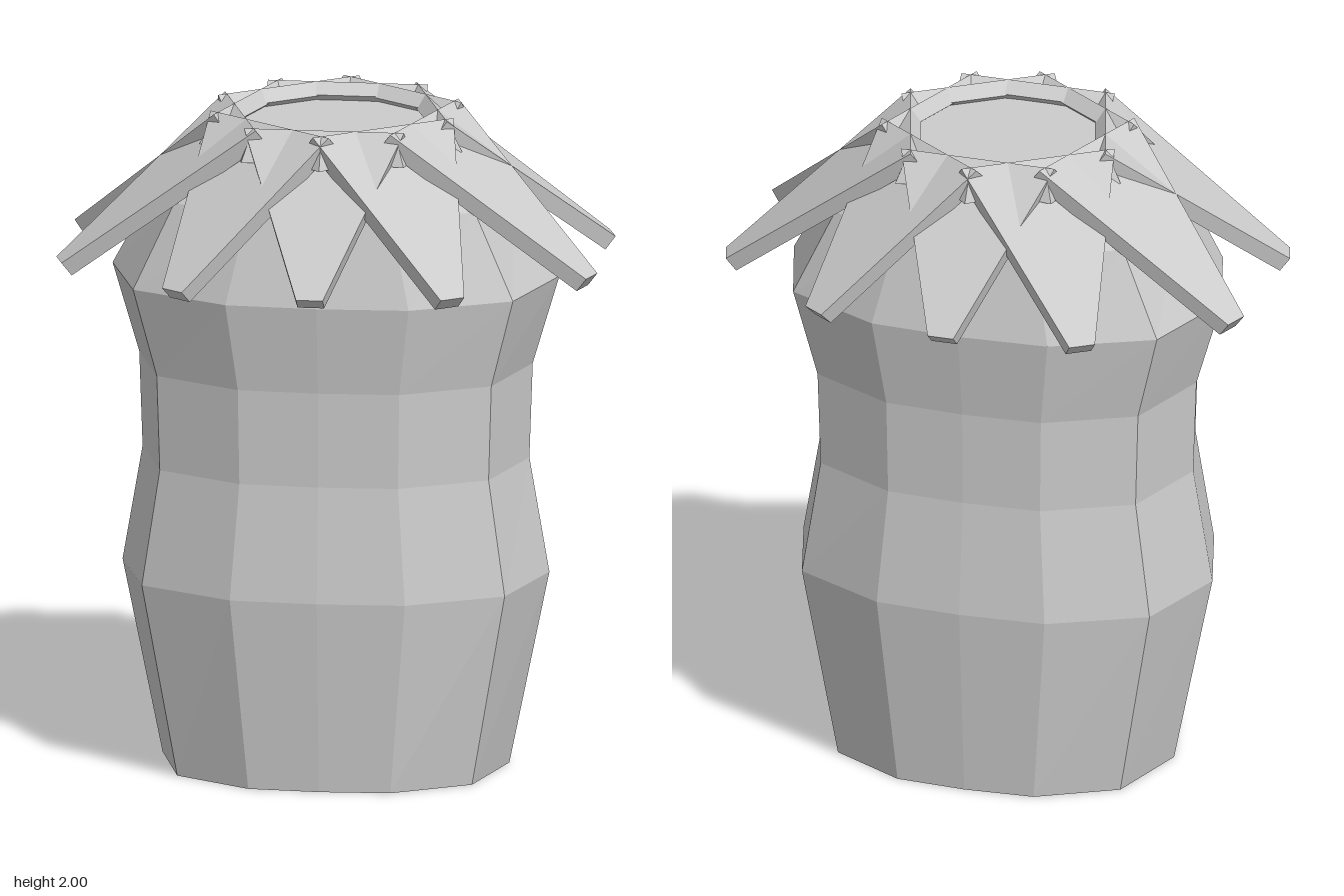
import * as THREE from 'three';

const material = new THREE.MeshStandardMaterial({ color: 0xcccccc, flatShading: true, side: THREE.DoubleSide });

// Twelve-sided outline of the trunk, in units of its half width and half depth
const quarter = [[1, 0], [0.85, 0.66], [0.41, 0.97]];
const outline = [
  ...quarter,
  [0, 1],
  ...quarter.slice(1).reverse().map(([x, z]) => [-x, z]),
  ...quarter.map(([x, z]) => [-x, -z]),
  [0, -1],
  ...quarter.slice(1).reverse().map(([x, z]) => [x, -z]),
];

const ring = (y, rx, rz) => outline.map(([x, z]) => [x * rx, y, z * rz]);

// Diamond-shaped opening: outline points pulled onto |x|/rx + |z|/rz = 1
const diamondRing = (y, rx, rz) => outline.map(([x, z]) => {
  const s = 1 / (Math.abs(x) + Math.abs(z));
  return [x * s * rx, y, z * s * rz];
});

// Skin a list of closed rings
function loft(rings) {
  const n = rings[0].length;
  const index = [];
  for (let j = 0; j < rings.length - 1; j++) {
    for (let i = 0; i < n; i++) {
      const k = (i + 1) % n;
      const a = j * n + i, b = j * n + k, c = a + n, d = b + n;
      index.push(a, c, b, b, c, d);
    }
  }
  const geometry = new THREE.BufferGeometry();
  geometry.setAttribute('position', new THREE.Float32BufferAttribute(rings.flat(2), 3));
  geometry.setIndex(index);
  geometry.computeVertexNormals();
  return geometry;
}

function add(parent, geometry, name) {
  const mesh = new THREE.Mesh(geometry, material);
  mesh.name = name;
  parent.add(mesh);
  return mesh;
}

const TIP_Y = 1.57, TOP_Y = 2, BASE_R = 0.29;

// Tapered slab sloping from the collar rim down to its tip, facing +z
function petalGeometry(tipR) {
  const run = tipR - BASE_R, rise = TOP_Y - TIP_Y;
  const length = Math.hypot(run, rise);
  const shape = new THREE.Shape([
    new THREE.Vector2(-0.04, 0), new THREE.Vector2(0.04, 0),
    new THREE.Vector2(0.24, length), new THREE.Vector2(-0.24, length),
  ]);
  return new THREE.ExtrudeGeometry(shape, { depth: 0.05, bevelEnabled: false })
    .translate(0, 0, -0.05)
    .rotateX(-Math.atan2(run, rise))
    .translate(0, TIP_Y, tipR);
}

export function createModel() {
  const model = new THREE.Group();
  model.name = 'stump';

  // Hollow trunk with an opening underneath, closed by a flat lid on top
  add(model, loft([
    diamondRing(0, 0.26, 0.36),
    ring(0, 0.52, 0.42),
    ring(0.59, 0.64, 0.47),
    ring(0.94, 0.58, 0.435),
    ring(1.23, 0.59, 0.44),
    ring(1.5, 0.67, 0.48),
    ring(1.76, 0.53, 0.42),
    ring(1.95, 0.29, 0.27),
    ring(1.95, 0, 0),
  ]), 'trunk');

  // Collar of ten overlapping petals, longest at the sides, each with a small thorn
  const collar = new THREE.Group();
  collar.name = 'collar';
  const tipRadii = [0.65, 0.716, 0.84, 0.84, 0.716];
  for (let i = 0; i < 10; i++) {
    const angle = (i * Math.PI) / 5;
    const petal = add(collar, petalGeometry(tipRadii[i % 5]), 'petal');
    petal.rotation.y = angle;
    const thorn = add(petal, new THREE.ConeGeometry(0.05, 0.09, 4), 'thorn');
    thorn.position.set(0, 1.95, 0.365);
  }
  model.add(collar);
  return model;
}
